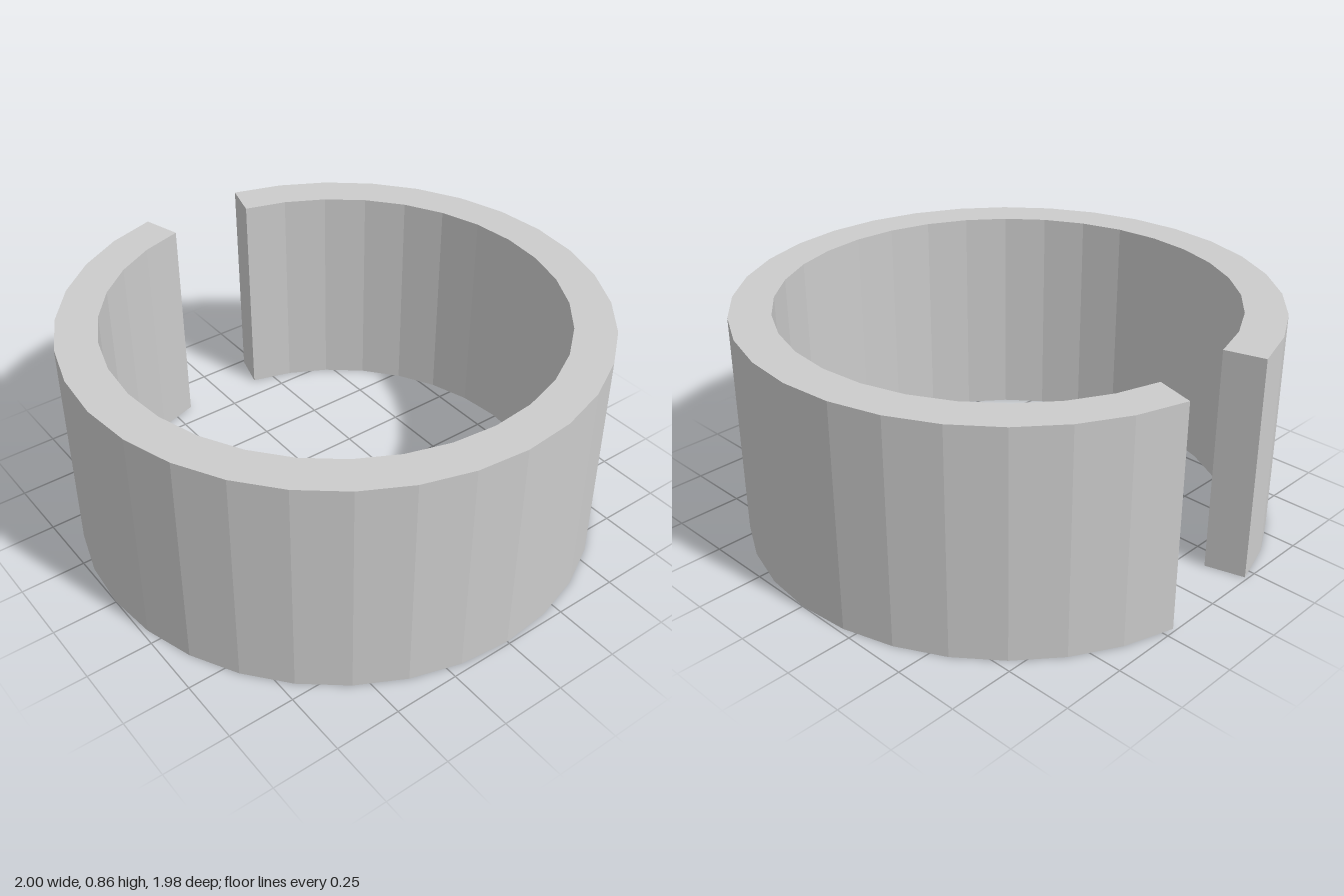
import * as THREE from 'three';

const HEIGHT = 0.86;
const SEGMENTS = 30;

// Points of an arc centred on the front, open at the back by gapDeg to each side
function arcPoints(radius, gapDeg) {
  const half = Math.PI - THREE.MathUtils.degToRad(gapDeg);
  const points = [];
  for (let i = 0; i <= SEGMENTS; i++) {
    const a = -half + (2 * half * i) / SEGMENTS;
    points.push(new THREE.Vector2(radius * Math.sin(a), -radius * Math.cos(a)));
  }
  return points;
}

export function createModel() {
  const group = new THREE.Group();
  group.name = 'splitRing';

  // C-shaped outline: outer arc, then the inner arc back again
  const outline = new THREE.Shape([
    ...arcPoints(1, 12),
    ...arcPoints(0.848, 11.3).reverse(),
  ]);
  const geometry = new THREE.ExtrudeGeometry(outline, { depth: HEIGHT, bevelEnabled: false });

  // Stand the band upright and centre its depth
  geometry.rotateX(-Math.PI / 2);
  geometry.translate(0, 0, -0.011);

  const material = new THREE.MeshStandardMaterial({ color: 0xcccccc, flatShading: true });
  const band = new THREE.Mesh(geometry, material);
  band.name = 'openBand';
  group.add(band);
  return group;
}
